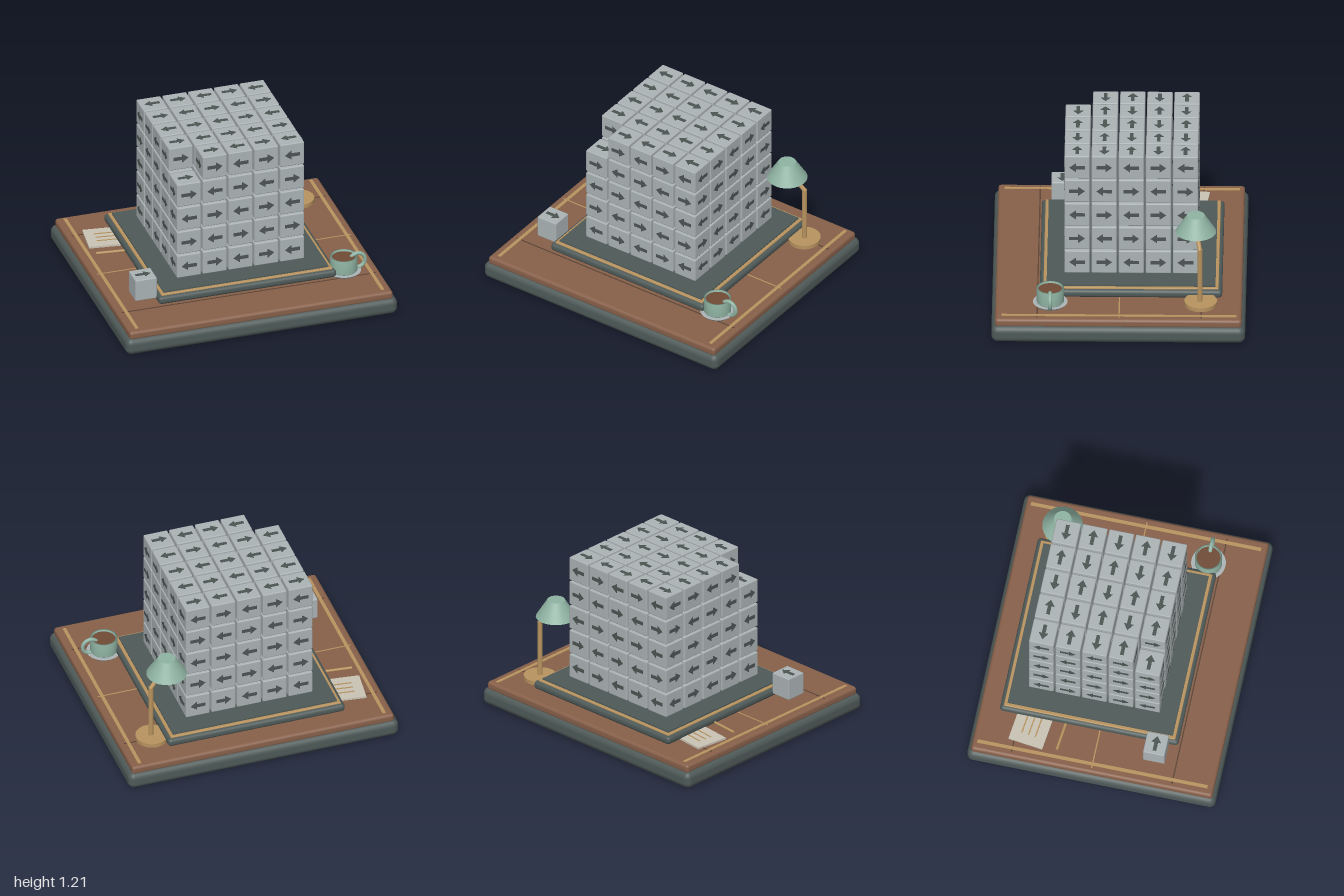
import * as THREE from 'three';
import { RoundedBoxGeometry } from 'three/addons/geometries/RoundedBoxGeometry.js';

const material = (name, color, side = THREE.FrontSide) => {
  const m = new THREE.MeshStandardMaterial({ color, side });
  m.name = name;
  return m;
};

export function createModel() {
  const slate = material('slate', 0x4e5a58);
  const wood = material('walnut', 0x87604a);
  const seamMat = material('dark seam', 0x5b4334);
  const brass = material('brass', 0xb8935f);
  const stone = material('pale grey', 0xabb3b5);
  const ink = material('arrow grey', 0x4c5553);
  const sage = material('sage', 0x8fb3a3, THREE.DoubleSide);
  const cream = material('paper', 0xc9c3b4);
  const coffeeMat = material('coffee', 0x6f4b36);

  const model = new THREE.Group();
  model.name = 'cubePuzzleDesk';

  const add = (name, geometry, mat, x = 0, y = 0, z = 0, parent = model) => {
    const mesh = new THREE.Mesh(geometry, mat);
    mesh.name = name;
    mesh.position.set(x, y, z);
    parent.add(mesh);
    return mesh;
  };
  const rounded = (w, h, d, r, s = 4) => new RoundedBoxGeometry(w, h, d, s, r);
  const box = (w, h, d) => new THREE.BoxGeometry(w, h, d);
  const cylinder = (rt, rb, h, n = 32) => new THREE.CylinderGeometry(rt, rb, h, n);
  const rod = (name, a, b, r, mat, parent) => {
    const from = new THREE.Vector3(...a), to = new THREE.Vector3(...b);
    const dir = to.clone().sub(from);
    const mid = from.clone().add(to).multiplyScalar(0.5);
    const mesh = add(name, cylinder(r, r, dir.length(), 16), mat, mid.x, mid.y, mid.z, parent);
    mesh.quaternion.setFromUnitVectors(new THREE.Vector3(0, 1, 0), dir.normalize());
  };

  // Plinth and wooden desk top
  add('plinth', rounded(2, 0.125, 1.78, 0.045), slate, 0, 0.0625, 0);
  add('deskTop', rounded(1.94, 0.065, 1.73, 0.022), wood, 0, 0.1425, 0);
  for (const x of [-0.905, 0.905]) add('brassInlay', box(0.025, 0.006, 1.65), brass, x, 0.176, -0.005);
  for (const z of [-0.58, 0.57]) add('plankSeam', box(1.87, 0.004, 0.009), seamMat, 0, 0.1755, z);
  add('centreSeam', box(1.87, 0.004, 0.009), brass, 0, 0.1755, -0.005);

  // Display tray with brass border
  const trayZ = -0.085;
  add('tray', rounded(1.31, 0.06, 1.28, 0.025), slate, 0, 0.205, trayZ);
  add('trayBorder', rounded(1.26, 0.02, 1.23, 0.006, 2), brass, 0, 0.235, trayZ);
  add('trayPanel', box(1.215, 0.02, 1.185), slate, 0, 0.245, trayZ);

  // Raised arrow shared by every block face
  const arrowShape = new THREE.Shape([
    [-0.055, -0.013], [0.008, -0.013], [0.008, -0.035], [0.055, 0],
    [0.008, 0.035], [0.008, 0.013], [-0.055, 0.013],
  ].map(([x, y]) => new THREE.Vector2(x, y)));
  const arrowGeometry = new THREE.ExtrudeGeometry(arrowShape, { depth: 0.004, bevelEnabled: false });

  // Each face: outward normal, viewer's right, viewer's up
  const faces = [
    [[0, 0, 1], [1, 0, 0], [0, 1, 0]],
    [[0, 0, -1], [-1, 0, 0], [0, 1, 0]],
    [[1, 0, 0], [0, 0, -1], [0, 1, 0]],
    [[-1, 0, 0], [0, 0, 1], [0, 1, 0]],
    [[0, 1, 0], [1, 0, 0], [0, 0, -1]],
  ];
  const addArrow = (block, face, half, pointsLeft) => {
    const [normal, right, up] = face.map((v) => new THREE.Vector3(...v));
    const arrow = add('arrow', arrowGeometry, ink, 0, 0, 0, block);
    arrow.quaternion.setFromRotationMatrix(new THREE.Matrix4().makeBasis(right, up, normal));
    if (pointsLeft) arrow.rotateZ(Math.PI);
    arrow.position.copy(normal.multiplyScalar(half - 0.001));
  };

  // Five by five by five stack, one corner block taken out
  const N = 5, pitch = 0.19, size = 0.178;
  const filled = (i, j, k) =>
    [i, j, k].every((n) => n >= 0 && n < N) && !(i === 0 && j === N - 1 && k === N - 1);
  const blockGeometry = rounded(size, size, size, 0.008, 1);
  const stack = new THREE.Group();
  stack.name = 'blockStack';
  stack.position.set(-0.38, 0.36, trayZ - 0.38);
  model.add(stack);
  for (let i = 0; i < N; i++) for (let j = 0; j < N; j++) for (let k = 0; k < N; k++) {
    if (!filled(i, j, k)) continue;
    const block = add('block', blockGeometry, stone, i * pitch, j * pitch, k * pitch, stack);
    for (const face of faces) {
      const [dx, dy, dz] = face[0];
      if (!filled(i + dx, j + dy, k + dz)) addArrow(block, face, size / 2, (i + j + k) % 2 === 0);
    }
  }

  // Loose block on the desk
  const loose = add('looseBlock', rounded(0.16, 0.165, 0.155, 0.008, 1), stone, -0.73, 0.283, 0.413);
  addArrow(loose, faces[4], 0.0825, false);

  // Desk lamp
  const lamp = new THREE.Group();
  lamp.name = 'lamp';
  model.add(lamp);
  add('lampBase', cylinder(0.115, 0.115, 0.03, 40), brass, 0.73, 0.19, -0.575, lamp);
  rod('lampPole', [0.735, 0.2, -0.57], [0.735, 0.615, -0.57], 0.018, brass, lamp);
  rod('lampArm', [0.737, 0.608, -0.57], [0.62, 0.74, -0.54], 0.016, brass, lamp);
  add('lampShade', cylinder(0.062, 0.143, 0.13, 32), sage, 0.608, 0.757, -0.54, lamp);
  add('lampBulb', cylinder(0.06, 0.06, 0.03), brass, 0.608, 0.69, -0.54, lamp);

  // Mug on a saucer
  const mug = new THREE.Group();
  mug.name = 'mug';
  mug.position.set(0.728, 0, 0.48);
  model.add(mug);
  add('saucer', cylinder(0.122, 0.11, 0.014, 40), stone, 0, 0.182, 0, mug);
  const profile = [[0, 0.187], [0.09, 0.187], [0.096, 0.195], [0.096, 0.3], [0.084, 0.3], [0.084, 0.27]];
  add('mugBody', new THREE.LatheGeometry(profile.map(([x, y]) => new THREE.Vector2(x, y)), 40), sage, 0, 0, 0, mug);
  add('coffee', cylinder(0.085, 0.085, 0.006), coffeeMat, 0, 0.285, 0, mug);
  add('mugHandle', new THREE.TorusGeometry(0.056, 0.014, 12, 32), sage, 0.1, 0.248, 0, mug);

  // Note sheet with written lines, and a pencil
  const note = new THREE.Group();
  note.name = 'note';
  note.position.set(-0.72, 0.182, -0.48);
  note.rotation.y = -0.12;
  model.add(note);
  add('sheet', box(0.28, 0.014, 0.25), cream, 0, 0, 0, note);
  for (const z of [-0.05, 0, 0.05]) add('writtenLine', box(0.2, 0.004, 0.009), brass, 0.03, 0.008, z, note);
  rod('pencil', [-0.855, 0.188, -0.272], [-0.63, 0.188, -0.248], 0.01, brass, model);

  return model;
}
